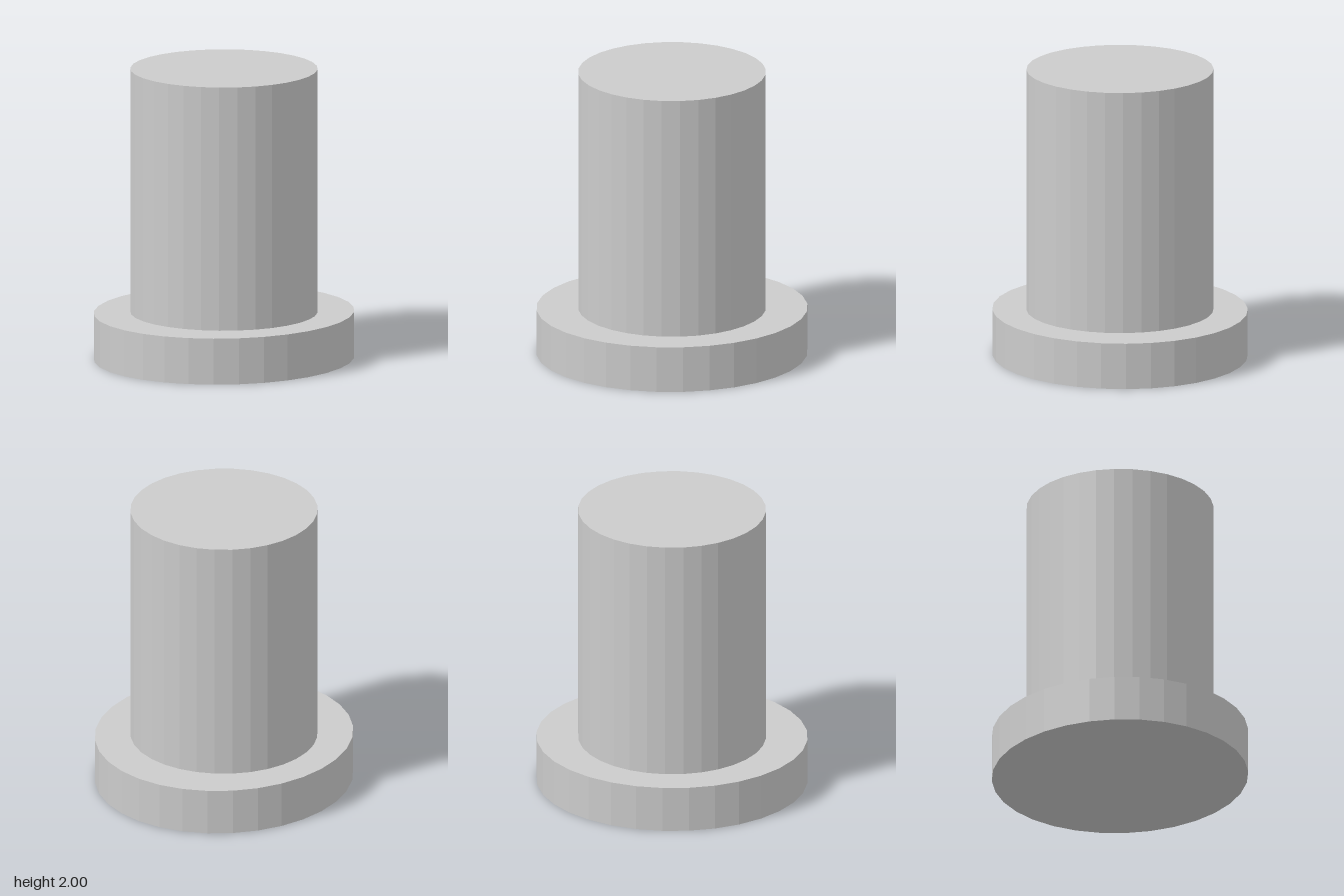
import * as THREE from 'three';

const SIDES = 32;
const BASE_HEIGHT = 0.318;
const TOP = 2;

export function createModel() {
  const group = new THREE.Group();
  group.name = 'flangedPin';
  const material = new THREE.MeshStandardMaterial({ color: 0xcccccc, flatShading: true });

  // Upright faceted cylinder with an elliptical section, between two heights
  function addDisc(name, rx, rz, y0, y1) {
    const geometry = new THREE.CylinderGeometry(1, 1, y1 - y0, SIDES);
    geometry.scale(rx, 1, rz);
    geometry.translate(0, (y0 + y1) / 2, 0);
    const mesh = new THREE.Mesh(geometry, material);
    mesh.name = name;
    group.add(mesh);
  }

  // Slightly oval base flange
  addDisc('baseFlange', 0.92, 0.863, 0, BASE_HEIGHT);
  // Round shaft standing on the flange
  addDisc('shaft', 0.637, 0.634, BASE_HEIGHT, TOP);

  return group;
}
